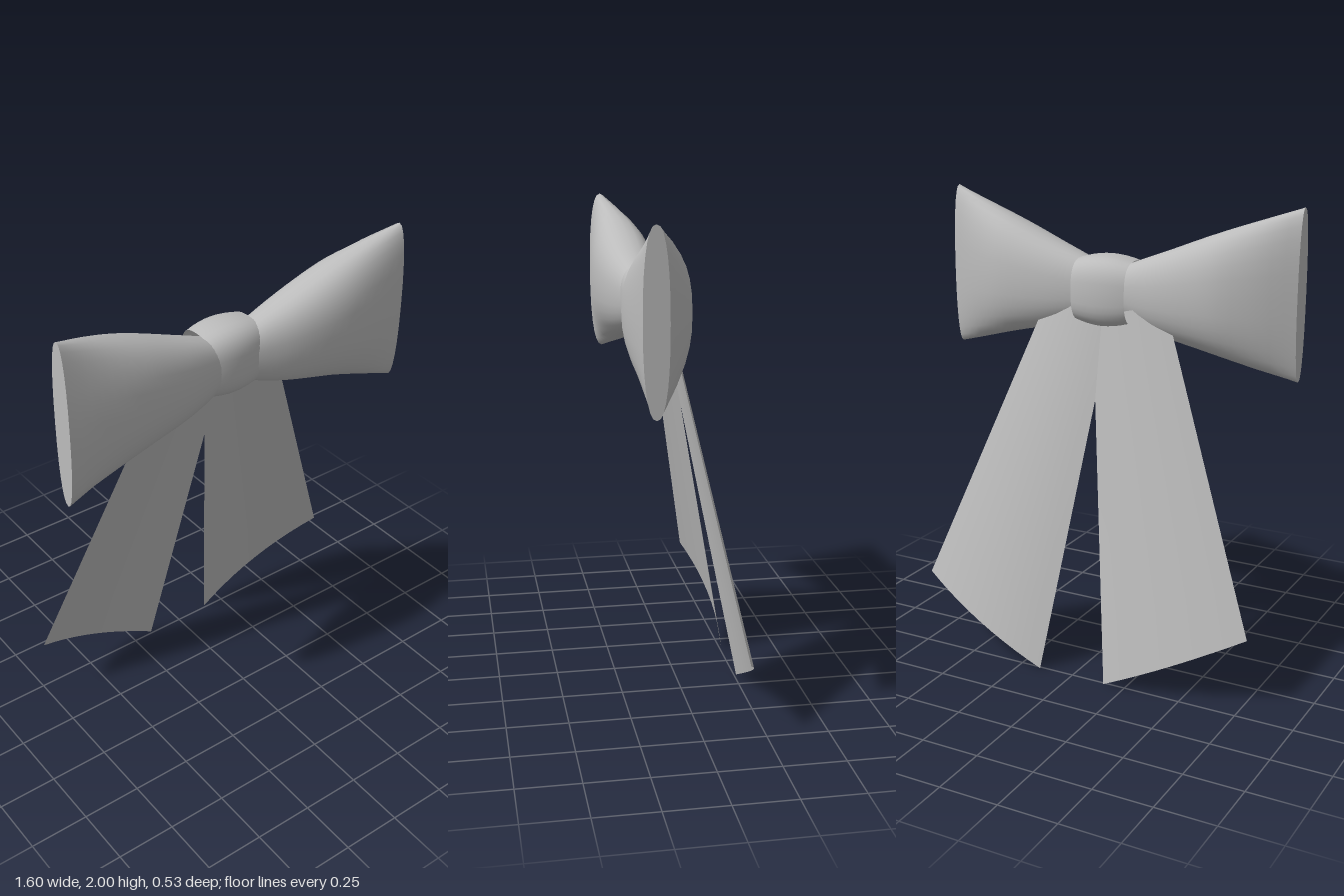
import * as THREE from 'three';
import { mergeVertices } from 'three/addons/utils/BufferGeometryUtils.js';

// Smooth grid surface from a point function of u and v in 0..1
function surface(rows, cols, point, flip = false) {
  const positions = [], index = [];
  for (let i = 0; i <= rows; i++)
    for (let j = 0; j <= cols; j++) positions.push(...point(i / rows, j / cols));
  for (let i = 0; i < rows; i++)
    for (let j = 0; j < cols; j++) {
      const a = i * (cols + 1) + j, b = a + cols + 1;
      if (flip) index.push(a, b, a + 1, b, b + 1, a + 1);
      else index.push(a, a + 1, b, b, a + 1, b + 1);
    }
  const geometry = new THREE.BufferGeometry();
  geometry.setAttribute('position', new THREE.Float32BufferAttribute(positions, 3));
  geometry.setIndex(index);
  const merged = mergeVertices(geometry, 1e-5);
  merged.computeVertexNormals();
  return merged;
}

// Rounded oval: returns [y, z] offsets in -1..1
function oval(v, power) {
  const angle = v * Math.PI * 2, c = Math.cos(angle), s = Math.sin(angle);
  const bend = (t) => Math.sign(t) * Math.pow(Math.abs(t), 2 / power);
  return [bend(c), bend(s)];
}

// Loop outline stations: x, top, bottom, back, front
const STATIONS = [
  [0, 1.70, 1.54, 0.05, 0.17],
  [0.12, 1.75, 1.485, 0.025, 0.203],
  [0.25, 1.80, 1.445, 0.002, 0.237],
  [0.40, 1.86, 1.41, -0.005, 0.26],
  [0.52, 1.905, 1.38, 0.008, 0.265],
  [0.66, 1.953, 1.34, 0.06, 0.256],
  [0.80, 2.0, 1.3, 0.14, 0.24],
];
const curveOf = (a, b, c) => new THREE.CatmullRomCurve3(
  STATIONS.map((s) => new THREE.Vector3(s[a], s[b], s[c])));
const heights = curveOf(0, 1, 2), depths = curveOf(0, 3, 4);

function loopPoint(u, v, side, scale = 1) {
  const h = heights.getPoint(u), d = depths.getPoint(u), [y, z] = oval(v, 2.35);
  return [side * h.x,
    (h.y + h.z) / 2 + scale * y * (h.y - h.z) / 2,
    (d.y + d.z) / 2 + scale * z * (d.z - d.y) / 2];
}

// Tail: trapezoid sheet, bowed backwards across its width
const TOP = [new THREE.Vector3(-0.045, 1.52, 0.022), new THREE.Vector3(0.27, 1.59, 0.057)];
const BOTTOM = [new THREE.Vector3(0.155, 0.005, -0.26), new THREE.Vector3(0.765, 0.31, -0.18)];
function tailPoint(u, v, side) {
  const p = TOP[0].clone().lerp(TOP[1], v);
  p.lerp(BOTTOM[0].clone().lerp(BOTTOM[1], v), u);
  const bow = 4 * v * (1 - v) * (0.015 + 0.023 * u);
  return [side * p.x, p.y, p.z - bow];
}

export function createModel() {
  const model = new THREE.Group();
  model.name = 'ribbonBow';
  const ribbon = new THREE.MeshStandardMaterial({ color: 0xbcbcbc, side: THREE.DoubleSide });
  ribbon.name = 'grey ribbon';
  const add = (name, geometry) => {
    const mesh = new THREE.Mesh(geometry, ribbon);
    mesh.name = name;
    model.add(mesh);
  };

  for (const [side, label] of [[1, 'left'], [-1, 'right']]) {
    const mirrored = side < 0;
    // Puffed loop and its flat outer end
    add(label + 'Loop', surface(18, 28, (u, v) => loopPoint(u, v, side), mirrored));
    add(label + 'LoopEnd', surface(1, 28, (u, v) => loopPoint(1, v, side, u), !mirrored));
    // Hanging tail
    add(label + 'Tail', surface(6, 10, (u, v) => tailPoint(u, v, side), mirrored));
  }

  // Barrel-shaped band around the middle
  add('knot', surface(8, 32, (u, v) => {
    const x = (u - 0.5) * 2, [y, z] = oval(v, 2.8), inset = 0.018 * x * x;
    return [0.123 * x, 1.622 + y * (0.15 - inset), 0.08 + z * (0.125 - inset)];
  }));

  return model;
}
